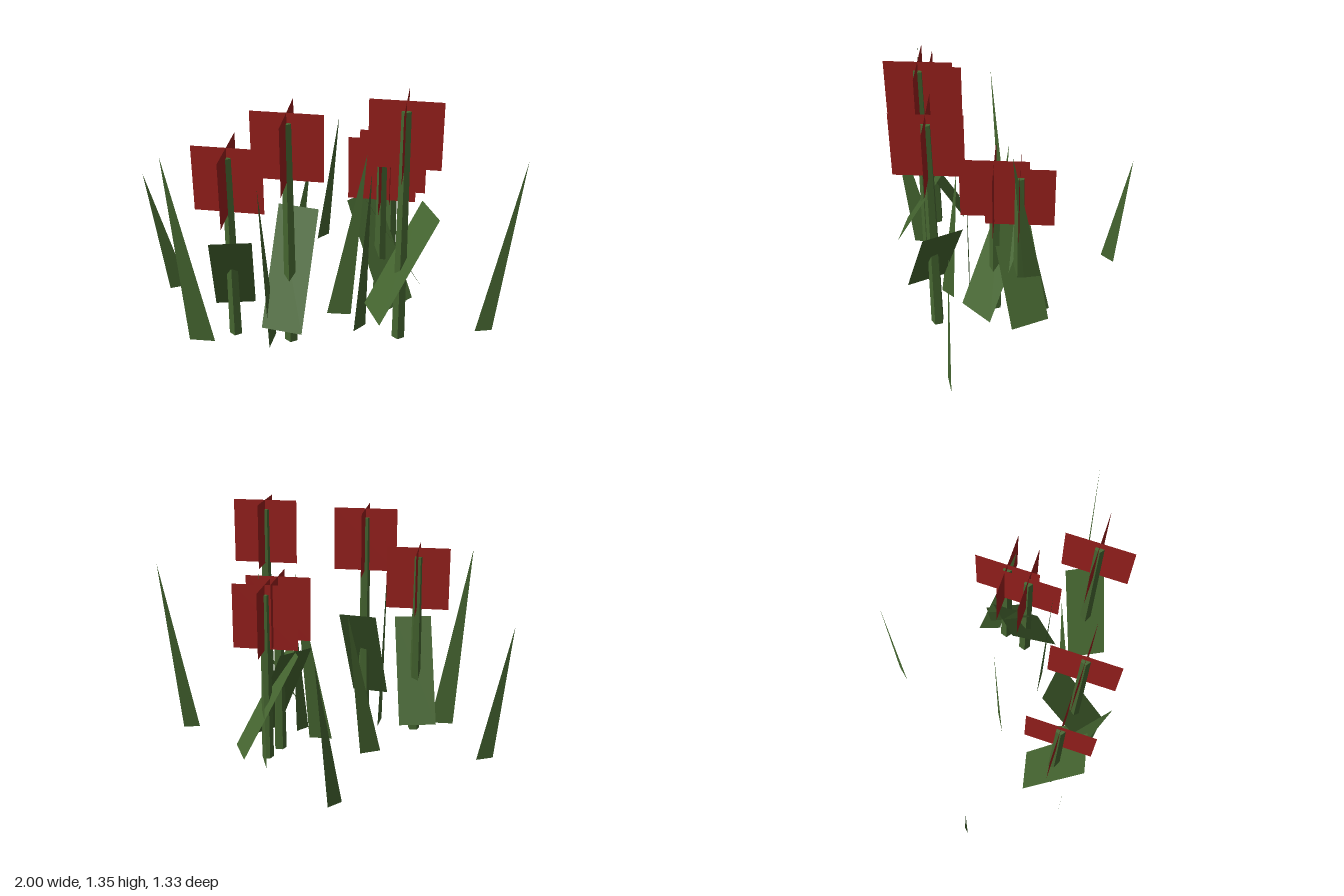
import * as THREE from 'three';

const green = new THREE.MeshStandardMaterial({ color: 0x456530, flatShading: true, side: THREE.DoubleSide });
const red = new THREE.MeshStandardMaterial({ color: 0x971f1c, flatShading: true, side: THREE.DoubleSide });

function part(name, geometry, material) {
  const mesh = new THREE.Mesh(geometry, material);
  mesh.name = name;
  return mesh;
}

// One flower: five-sided stem, two crossed square petals and one tilted leaf
function makeFlower({ x, z, height, leafYaw }) {
  const flower = new THREE.Group();
  flower.name = 'flower';
  flower.position.set(x, 0, z);

  const stem = part('stem', new THREE.CylinderGeometry(0.025, 0.035, height, 5), green);
  stem.position.y = height / 2;
  flower.add(stem);

  for (const yaw of [0, Math.PI / 2]) {
    const petal = part('petal', new THREE.PlaneGeometry(0.355, 0.355), red);
    petal.position.y = height - 0.125;
    petal.rotation.y = yaw;
    flower.add(petal);
  }

  const leafGeometry = new THREE.PlaneGeometry(0.213, 0.64).rotateX(0.5).rotateY(leafYaw);
  const leaf = part('leaf', leafGeometry, green);
  leaf.position.y = height * 0.35;
  flower.add(leaf);
  return flower;
}

// A grass blade: upright triangle from two base corners [x, z] to a tip [x, y, z]
function makeBlade([a, b, tip]) {
  const geometry = new THREE.BufferGeometry();
  const points = [a[0], 0, a[1], b[0], 0, b[1], ...tip];
  geometry.setAttribute('position', new THREE.Float32BufferAttribute(points, 3));
  geometry.computeVertexNormals();
  return part('grassBlade', geometry, green);
}

export function createModel() {
  const model = new THREE.Group();
  model.name = 'flowerPatch';

  const flowers = [
    { x: -0.453, z: 0.458, height: 1.04, leafYaw: 0.22 },
    { x: -0.15, z: 0.472, height: 1.25, leafYaw: 3.0 },
    { x: 0.403, z: 0.365, height: 1.3, leafYaw: 2.05 },
    { x: 0.312, z: -0.075, height: 0.93, leafYaw: -1.13 },
    { x: 0.268, z: 0.056, height: 0.945, leafYaw: -2.29 },
  ];
  flowers.forEach((f) => model.add(makeFlower(f)));

  const blades = [
    [[-0.92, 0.115], [-0.83, 0.07], [-1.0, 0.75, 0.155]],
    [[-0.68, 0.56], [-0.545, 0.555], [-0.755, 1.07, 0.56]],
    [[-0.25, 0.57], [-0.24, 0.44], [-0.26, 0.99, 0.665]],
    [[-0.295, 0.105], [-0.19, 0.045], [-0.12, 0.82, 0.0]],
    [[-0.175, -0.54], [-0.115, -0.61], [-0.06, 0.78, -0.665]],
    [[0.0, 0.223], [0.13, 0.215], [0.205, 0.98, 0.207]],
    [[0.165, 0.365], [0.22, 0.295], [0.235, 0.9, 0.25]],
    [[0.28, -0.24], [0.325, -0.12], [0.35, 1.08, -0.04]],
    [[0.805, 0.27], [0.895, 0.245], [1.0, 1.0, 0.213]],
  ];
  blades.forEach((b) => model.add(makeBlade(b)));

  return model;
}
